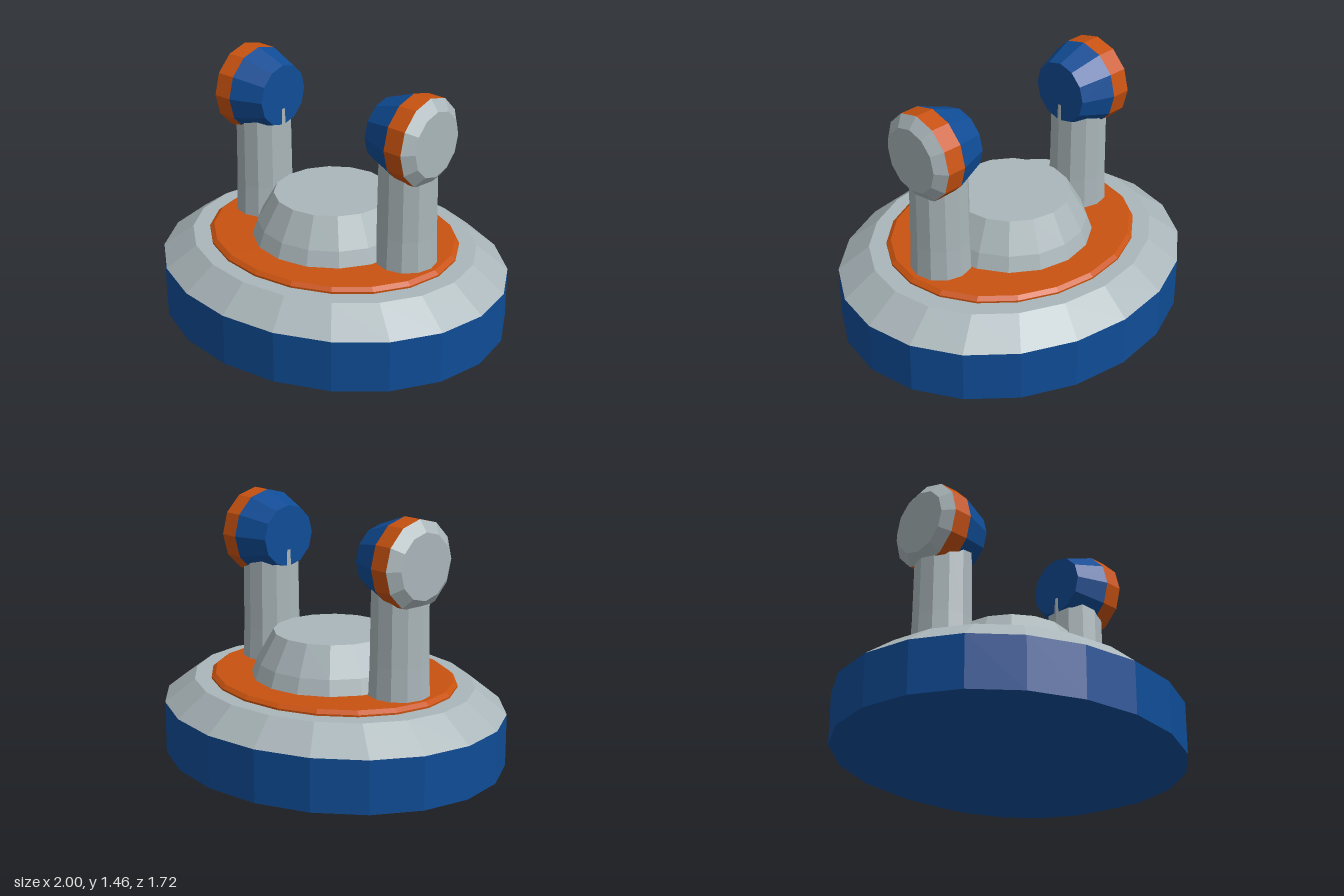
import * as THREE from 'three';

const paint = (name, color) => {
  const m = new THREE.MeshStandardMaterial({ color, flatShading: true });
  m.name = name;
  return m;
};

export function createModel() {
  const blue = paint('blue', 0x0f4c96);
  const grey = paint('grey', 0xaab6ba);
  const orange = paint('orange', 0xc85210);
  const model = new THREE.Group();

  // Faceted turned part from [radius, height] pairs, listed bottom to top
  const turned = (name, profile, sides, material, parent = model) => {
    const points = profile.map(([r, y]) => new THREE.Vector2(r, y));
    const mesh = new THREE.Mesh(new THREE.LatheGeometry(points, sides), material);
    mesh.name = name;
    parent.add(mesh);
    return mesh;
  };

  // Oval base: hull, bevelled deck and coloured ring
  const base = new THREE.Group();
  base.name = 'base';
  base.scale.z = 0.86;
  model.add(base);
  turned('hull', [[0, 0], [0.77, 0], [1, 0.085], [1, 0.37]], 20, blue, base);
  turned('deck', [[1, 0.37], [0.82, 0.5], [0, 0.5]], 20, grey, base);
  turned('deckRing', [[0.72, 0.5], [0.72, 0.51], [0.695, 0.528], [0, 0.528]], 20, orange, base);

  // Round central dome with a flat top
  turned('dome', [[0.44, 0.525], [0.41, 0.61], [0.32, 0.77], [0, 0.77]], 16, grey);

  // Two posts, each carrying a sideways lamp that narrows inward
  for (const side of [1, -1]) {
    const label = side > 0 ? 'left' : 'right';
    const post = turned(label + 'Post', [[0.165, 0.52], [0.158, 0.7], [0.153, 1.15], [0, 1.15]], 12, grey);
    post.position.x = side * 0.505;

    const lamp = new THREE.Group();
    lamp.name = label + 'Lamp';
    lamp.position.y = 1.227;
    lamp.rotation.z = -side * Math.PI / 2;
    turned('lampCone', [[0, 0.355], [0.17, 0.355], [0.235, 0.53]], 12, blue, lamp);
    turned('lampBand', [[0.235, 0.53], [0.235, 0.635]], 12, orange, lamp);
    turned('lampCap', [[0.235, 0.635], [0.175, 0.682], [0, 0.682]], 12, grey, lamp);
    model.add(lamp);
  }
  return model;
}
